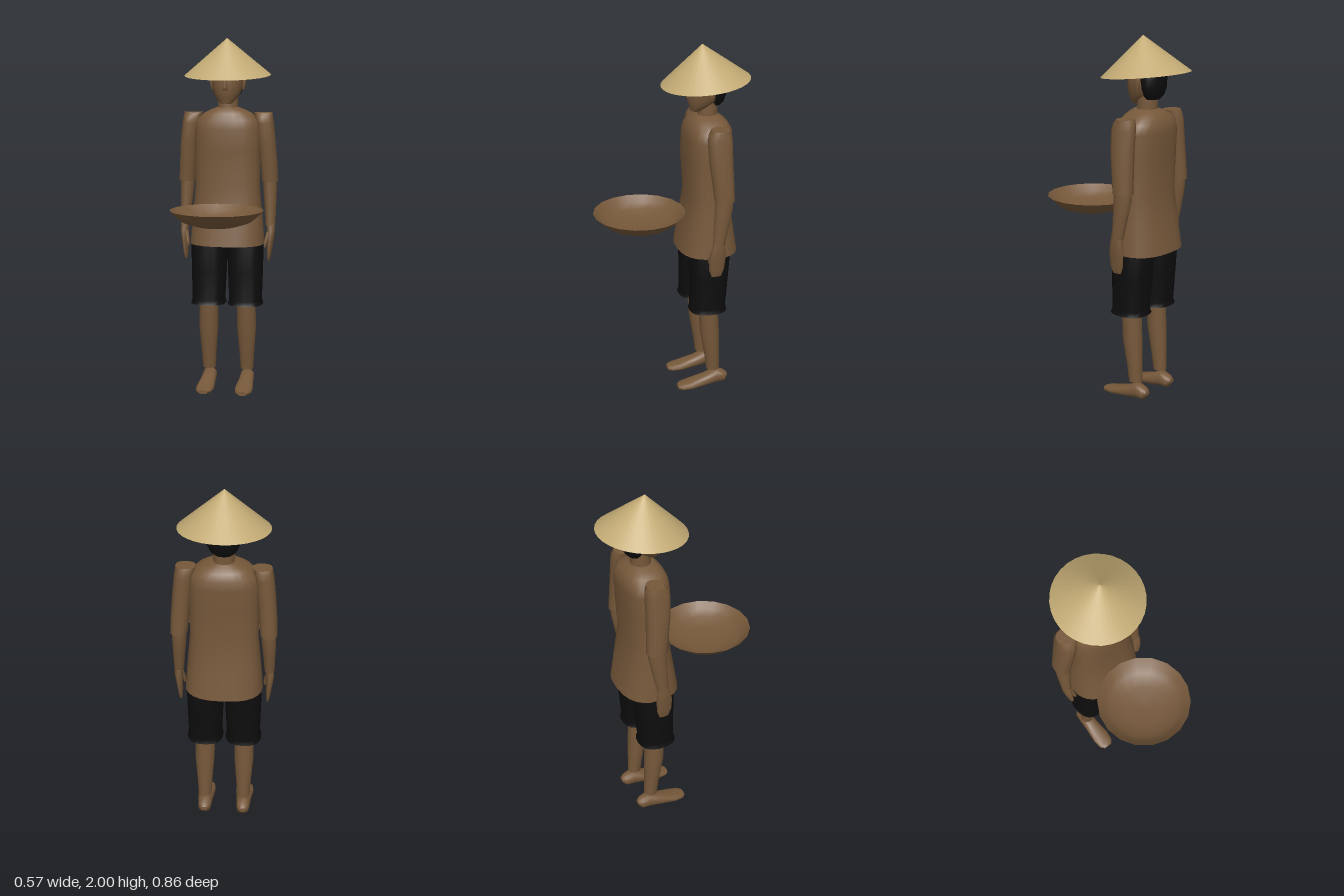
import * as THREE from 'three';

const brown = new THREE.MeshStandardMaterial({ color: 0x76583a, side: THREE.DoubleSide });
brown.name = 'warm brown';
const straw = new THREE.MeshStandardMaterial({ color: 0xc2aa74, side: THREE.DoubleSide });
straw.name = 'straw';
const black = new THREE.MeshStandardMaterial({ color: 0x0d0d0d });
black.name = 'black';

// Closed skin over horizontal superellipse rings [x, y, z, radiusX, radiusZ], listed upwards.
function loft(rings, sides = 16, power = 2) {
  const pos = [], idx = [];
  const addRing = ([cx, cy, cz, rx, rz]) => {
    const start = pos.length / 3;
    for (let i = 0; i < sides; i++) {
      const a = (i / sides) * Math.PI * 2;
      const bend = (v) => Math.sign(v) * Math.abs(v) ** (2 / power);
      pos.push(cx + rx * bend(Math.sin(a)), cy, cz + rz * bend(Math.cos(a)));
    }
    return start;
  };
  const starts = rings.map(addRing);
  for (let r = 0; r < rings.length - 1; r++) {
    for (let i = 0; i < sides; i++) {
      const j = (i + 1) % sides, a = starts[r], b = starts[r + 1];
      idx.push(a + i, a + j, b + j, a + i, b + j, b + i);
    }
  }
  // end caps with their own vertices, so that the rims stay sharp
  [[rings[0], false], [rings[rings.length - 1], true]].forEach(([ring, up]) => {
    const s = addRing(ring), c = pos.length / 3;
    pos.push(ring[0], ring[1], ring[2]);
    for (let i = 0; i < sides; i++) {
      const j = (i + 1) % sides;
      if (up) idx.push(c, s + i, s + j);
      else idx.push(c, s + j, s + i);
    }
  });
  const g = new THREE.BufferGeometry();
  g.setAttribute('position', new THREE.Float32BufferAttribute(pos, 3));
  g.setIndex(idx);
  g.computeVertexNormals();
  return g;
}

export function createModel() {
  const model = new THREE.Group();
  model.name = 'farmerWithTray';
  const add = (name, geometry, material) => {
    const mesh = new THREE.Mesh(geometry, material);
    mesh.name = name;
    model.add(mesh);
    return mesh;
  };

  // Shirt flaring to the hem, rounding over the shoulders to the collar
  add('shirt', loft([
    [0, 0.85, -0.195, 0.21, 0.165],
    [0, 1.0, -0.195, 0.198, 0.14],
    [0, 1.18, -0.195, 0.182, 0.112],
    [0, 1.38, -0.193, 0.184, 0.126],
    [0, 1.5, -0.198, 0.184, 0.126],
    [0, 1.55, -0.2, 0.172, 0.12],
    [0, 1.585, -0.198, 0.135, 0.1],
    [0, 1.605, -0.195, 0.095, 0.078],
    [0, 1.618, -0.193, 0.06, 0.06],
  ], 24, 2.5), brown);

  // Neck, face and features
  add('neck', loft([[0, 1.6, -0.2, 0.057, 0.055], [0, 1.72, -0.205, 0.055, 0.052]]), brown);
  add('head', loft([
    [0, 1.64, -0.135, 0.03, 0.028],
    [0, 1.665, -0.155, 0.055, 0.055],
    [0, 1.7, -0.175, 0.076, 0.086],
    [0, 1.74, -0.187, 0.086, 0.1],
    [0, 1.78, -0.19, 0.09, 0.102],
    [0, 1.83, -0.19, 0.083, 0.095],
    [0, 1.865, -0.19, 0.06, 0.07],
    [0, 1.885, -0.185, 0.02, 0.03],
  ], 18), brown);
  add('nose', loft([
    [0, 1.715, -0.09, 0.013, 0.01],
    [0, 1.73, -0.085, 0.016, 0.017],
    [0, 1.78, -0.09, 0.008, 0.008],
  ], 8), brown);
  add('hair', loft([
    [0, 1.67, -0.24, 0.045, 0.03],
    [0, 1.69, -0.243, 0.066, 0.045],
    [0, 1.73, -0.243, 0.085, 0.056],
    [0, 1.78, -0.238, 0.09, 0.064],
    [0, 1.83, -0.23, 0.084, 0.067],
    [0, 1.87, -0.215, 0.058, 0.055],
    [0, 1.888, -0.2, 0.025, 0.03],
  ], 18), black);

  // Conical hat, open below and tipped forward
  const hat = add('conicalHat', new THREE.ConeGeometry(0.241, 0.204, 32, 1, true), straw);
  hat.rotation.x = 0.1;
  hat.position.set(0, 1.898, -0.18);

  // Shallow tray held in front
  const profile = [[0, 1.0], [0.11, 1.003], [0.185, 1.027], [0.22, 1.055], [0.253, 1.088]];
  const tray = new THREE.LatheGeometry(profile.map((p) => new THREE.Vector2(...p)), 18, Math.PI / 2);
  add('tray', tray, brown).position.z = 0.18;

  // Paired parts
  for (const [side, s] of [['left', 1], ['right', -1]]) {
    const limb = (name, rings, sides, power, material = brown) =>
      add(side + name, loft(rings.map(([x, ...rest]) => [x * s, ...rest]), sides, power), material);

    limb('Ear', [
      [0.086, 1.715, -0.2, 0.006, 0.01],
      [0.09, 1.735, -0.2, 0.01, 0.016],
      [0.094, 1.775, -0.205, 0.01, 0.022],
      [0.092, 1.795, -0.205, 0.005, 0.012],
    ], 8, 2);
    limb('Sleeve', [
      [0.237, 1.2, -0.228, 0.046, 0.056],
      [0.23, 1.3, -0.22, 0.049, 0.06],
      [0.22, 1.42, -0.21, 0.05, 0.066],
      [0.208, 1.53, -0.207, 0.051, 0.068],
      [0.202, 1.565, -0.209, 0.051, 0.06],
      [0.197, 1.588, -0.213, 0.053, 0.045],
    ], 12, 2.3);
    limb('Forearm', [
      [0.244, 0.955, -0.198, 0.027, 0.034],
      [0.241, 1.06, -0.212, 0.033, 0.043],
      [0.237, 1.16, -0.224, 0.039, 0.051],
      [0.235, 1.23, -0.225, 0.038, 0.05],
    ], 12, 2);
    limb('Hand', [
      [0.237, 0.76, -0.188, 0.007, 0.028],
      [0.24, 0.8, -0.188, 0.013, 0.042],
      [0.245, 0.87, -0.19, 0.018, 0.047],
      [0.248, 0.92, -0.193, 0.022, 0.04],
      [0.246, 0.965, -0.198, 0.024, 0.031],
    ], 10, 2.2);
    limb('Thumb', [
      [0.219, 0.835, -0.155, 0.006, 0.008],
      [0.222, 0.865, -0.156, 0.01, 0.012],
      [0.236, 0.92, -0.175, 0.013, 0.016],
    ], 8, 2);
    limb('ShortsLeg', [
      [0.106, 0.505, -0.18, 0.1, 0.106],
      [0.106, 0.53, -0.18, 0.092, 0.098],
      [0.104, 0.7, -0.186, 0.098, 0.105],
      [0.103, 0.85, -0.189, 0.102, 0.113],
      [0.09, 0.95, -0.192, 0.088, 0.1],
    ], 18, 2.5, black);
    limb('Shin', [
      [0.11, 0.112, -0.217, 0.037, 0.038],
      [0.11, 0.2, -0.21, 0.042, 0.043],
      [0.11, 0.36, -0.194, 0.055, 0.055],
      [0.108, 0.5, -0.186, 0.054, 0.056],
      [0.108, 0.58, -0.183, 0.055, 0.058],
    ], 14, 2);
    // Foot rings run from heel to toe: [x, z, -y, half width, half height]
    limb('Foot', [
      [0.11, -0.3, -0.058, 0.018, 0.012],
      [0.11, -0.28, -0.053, 0.034, 0.034],
      [0.11, -0.235, -0.061, 0.04, 0.044],
      [0.11, -0.17, -0.043, 0.043, 0.034],
      [0.111, -0.08, -0.026, 0.052, 0.022],
      [0.112, -0.03, -0.021, 0.045, 0.017],
      [0.112, -0.008, -0.019, 0.026, 0.012],
    ].map((r) => r), 14, 2.3).geometry.rotateX(Math.PI / 2);
  }

  // Set the soles on the ground
  const box = new THREE.Box3().setFromObject(model);
  model.children.forEach((part) => { part.position.y -= box.min.y; });
  return model;
}
